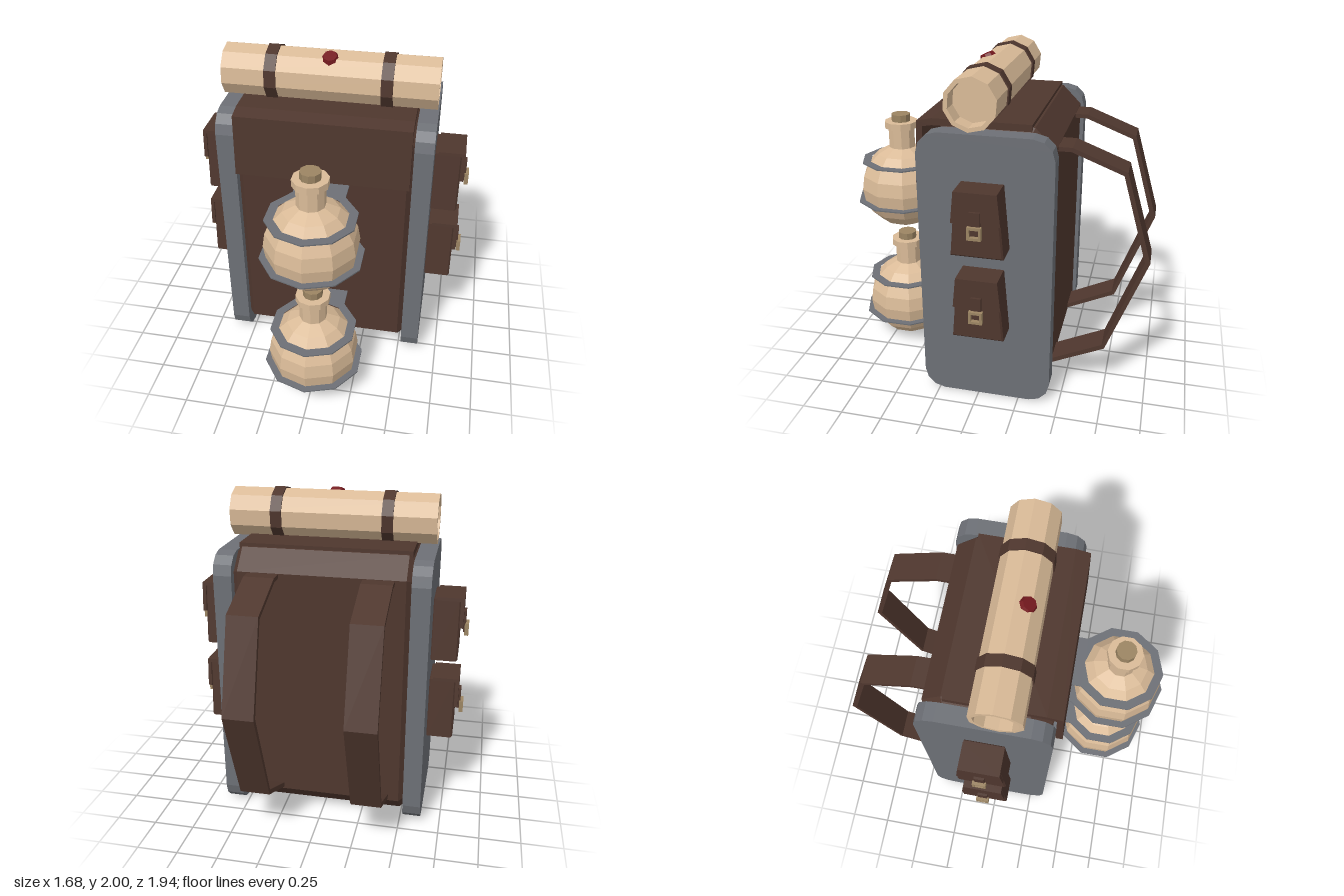
import * as THREE from 'three';

const mat = (name, color) => {
  const m = new THREE.MeshStandardMaterial({ color });
  m.name = name;
  return m;
};

// Faceted copy of a geometry
const flat = (g) => {
  const f = g.index ? g.toNonIndexed() : g;
  f.computeVertexNormals();
  return f;
};

// Polygon of [z, y] points extruded along x, centred on x = 0
function slab(points, width, bevel = 0, hole = null) {
  const toPts = (a) => a.map(([u, v]) => new THREE.Vector2(u, v));
  const shape = new THREE.Shape(toPts(points));
  if (hole) shape.holes.push(new THREE.Path(toPts(hole)));
  const depth = width - 2 * bevel;
  const g = new THREE.ExtrudeGeometry(shape, {
    depth, bevelEnabled: bevel > 0, bevelSize: bevel, bevelThickness: bevel, bevelSegments: 1,
  });
  return g.translate(0, 0, -depth / 2).rotateY(-Math.PI / 2);
}

// Rectangle outline with corners cut into a number of facets
function cornered(z0, z1, y0, y1, r, facets) {
  const pts = [];
  const centres = [[z1 - r, y1 - r], [z0 + r, y1 - r], [z0 + r, y0 + r], [z1 - r, y0 + r]];
  centres.forEach(([cz, cy], q) => {
    for (let i = 0; i <= facets; i++) {
      const a = (q + i / facets) * Math.PI / 2;
      pts.push([cz + r * Math.cos(a), cy + r * Math.sin(a)]);
    }
  });
  return pts;
}

export function createModel() {
  const leather = mat('brown leather', 0x4f372e);
  const frame = mat('grey frame', 0x6d7076);
  const tan = mat('tan', 0xdabb98);
  const brass = mat('dull brass', 0x9c8563);
  const wax = mat('red wax', 0x74191e);

  const model = new THREE.Group();
  model.name = 'backpack';
  const add = (parent, name, geometry, material, x = 0, y = 0, z = 0) => {
    const m = new THREE.Mesh(geometry, material);
    m.name = name;
    m.position.set(x, y, z);
    parent.add(m);
    return m;
  };
  const group = (name, x, y, z) => {
    const g = new THREE.Group();
    g.name = name;
    g.position.set(x, y, z);
    model.add(g);
    return g;
  };

  // Main bag and its folded cover
  add(model, 'bag', slab(cornered(-0.39, 0.29, 0.06, 1.67, 0.1, 1), 1.04, 0.03), leather);
  add(model, 'cover', slab([
    [-0.29, 1.68], [-0.29, 1.72], [0.28, 1.72], [0.37, 1.7],
    [0.388, 1.33], [0.345, 1.33], [0.335, 1.67], [0.28, 1.68],
  ], 1.02), leather);

  // Side frames, shoulder straps and side pouches
  const panel = slab(cornered(-0.44, 0.34, 0.01, 1.68, 0.125, 3), 0.11);
  const strap = slab([
    [-0.4, 1.58], [-0.5, 1.58], [-0.81, 1.46], [-0.97, 0.92], [-0.74, 0.31], [-0.4, 0.15],
    [-0.4, 0.18], [-0.725, 0.335], [-0.94, 0.92], [-0.79, 1.44], [-0.495, 1.555], [-0.4, 1.555],
  ], 0.18);
  const pouchBody = slab([[-0.14, 0.01], [0.14, 0.01], [0.11, 0.37], [-0.11, 0.37]], 0.165, 0.01);
  const pouchLid = slab([[-0.122, 0.37], [0.122, 0.37], [0.12, 0.39], [-0.12, 0.39]], 0.16);
  const pouchFlap = slab([[-0.12, 0.39], [-0.138, 0.21], [0, 0.165], [0.138, 0.21], [0.12, 0.39]], 0.022);
  const tongue = slab([[-0.03, 0.15], [0.03, 0.15], [0.03, 0.285], [-0.03, 0.285]], 0.015);
  const buckle = slab(
    [[-0.04, 0.13], [0.04, 0.13], [0.04, 0.205], [-0.04, 0.205]], 0.025, 0,
    [[-0.025, 0.145], [0.025, 0.145], [0.025, 0.19], [-0.025, 0.19]],
  );
  for (const [side, s] of [['left', 1], ['right', -1]]) {
    add(model, side + 'Frame', panel, frame, s * 0.575);
    add(model, side + 'ShoulderStrap', strap, leather, s * 0.335);
    for (const [level, y] of [['Upper', 1.03], ['Lower', 0.51]]) {
      const pouch = group(side + level + 'Pouch', s * 0.63, y, -0.045);
      add(pouch, 'pouchBody', pouchBody, leather, s * 0.0775);
      add(pouch, 'pouchLid', pouchLid, leather, s * 0.1);
      add(pouch, 'pouchFlap', pouchFlap, leather, s * 0.169);
      add(pouch, 'tongue', tongue, leather, s * 0.187);
      add(pouch, 'buckle', buckle, brass, s * 0.2);
    }
  }

  // Flat ten-sided holder ring with a tab back to the bag
  const holder = (outer, inner) => {
    const at = (r, k) => new THREE.Vector2(r * Math.sin(k * Math.PI / 5), r * Math.cos(k * Math.PI / 5));
    const pts = [];
    for (let k = -4; k <= 4; k++) pts.push(at(outer, k));
    const w = pts[8].x;
    pts.push(new THREE.Vector2(w, -0.35), new THREE.Vector2(-w, -0.35));
    const shape = new THREE.Shape(pts);
    shape.holes.push(new THREE.Path(Array.from({ length: 10 }, (_, k) => at(inner, k))));
    return new THREE.ExtrudeGeometry(shape, { depth: 0.008, bevelEnabled: false })
      .rotateX(Math.PI / 2).translate(0, 0.004, 0);
  };
  const upperHolder = holder(0.265, 0.212);
  const lowerHolder = holder(0.305, 0.262);
  const flask = flat(new THREE.SphereGeometry(0.277, 10, 10).rotateY(Math.PI / 2));
  const drum = (r, h, n = 10) => flat(new THREE.CylinderGeometry(r, r, h, n));
  const neck = drum(0.084, 0.18);
  const lip = drum(0.105, 0.042);
  const cork = drum(0.06, 0.05);

  // Two round flasks on the front
  for (const [name, y] of [['upperFlask', 1.103], ['lowerFlask', 0.283]]) {
    const g = group(name, 0, y, 0.66);
    add(g, 'flaskBody', flask, tan);
    add(g, 'flaskNeck', neck, tan, 0, 0.31);
    add(g, 'flaskLip', lip, tan, 0, 0.411);
    add(g, 'cork', cork, brass, 0, 0.452);
    add(g, 'upperHolder', upperHolder, frame, 0, 0.177);
    add(g, 'lowerHolder', lowerHolder, frame, 0, -0.083);
  }

  // Rolled mat on top, hollow at both ends
  const roll = group('bedroll', 0, 1.84, 0.027);
  const turn = (pts) => flat(new THREE.LatheGeometry(pts.map(([r, h]) => new THREE.Vector2(r, h)), 10)
    .rotateZ(Math.PI / 2).rotateX(0.23));
  const h = 0.623, ro = 0.153, ri = 0.128, d = 0.1;
  add(roll, 'mat', turn([
    [0, d - h], [ri, d - h], [ri, -h], [ro, -h], [ro, h], [ri, h], [ri, h - d], [0, h - d],
  ]), tan);
  const band = turn([[0.14, -0.034], [0.162, -0.034], [0.162, 0.034], [0.14, 0.034]]);
  for (const s of [1, -1]) add(roll, 'matBand', band, leather, s * 0.335);

  // Wax seal resting on the mat
  const seal = add(roll, 'seal', flat(new THREE.CylinderGeometry(0.04, 0.055, 0.03, 8)), wax, 0, 0.134, 0.06);
  seal.rotation.x = 0.42;

  return model;
}
